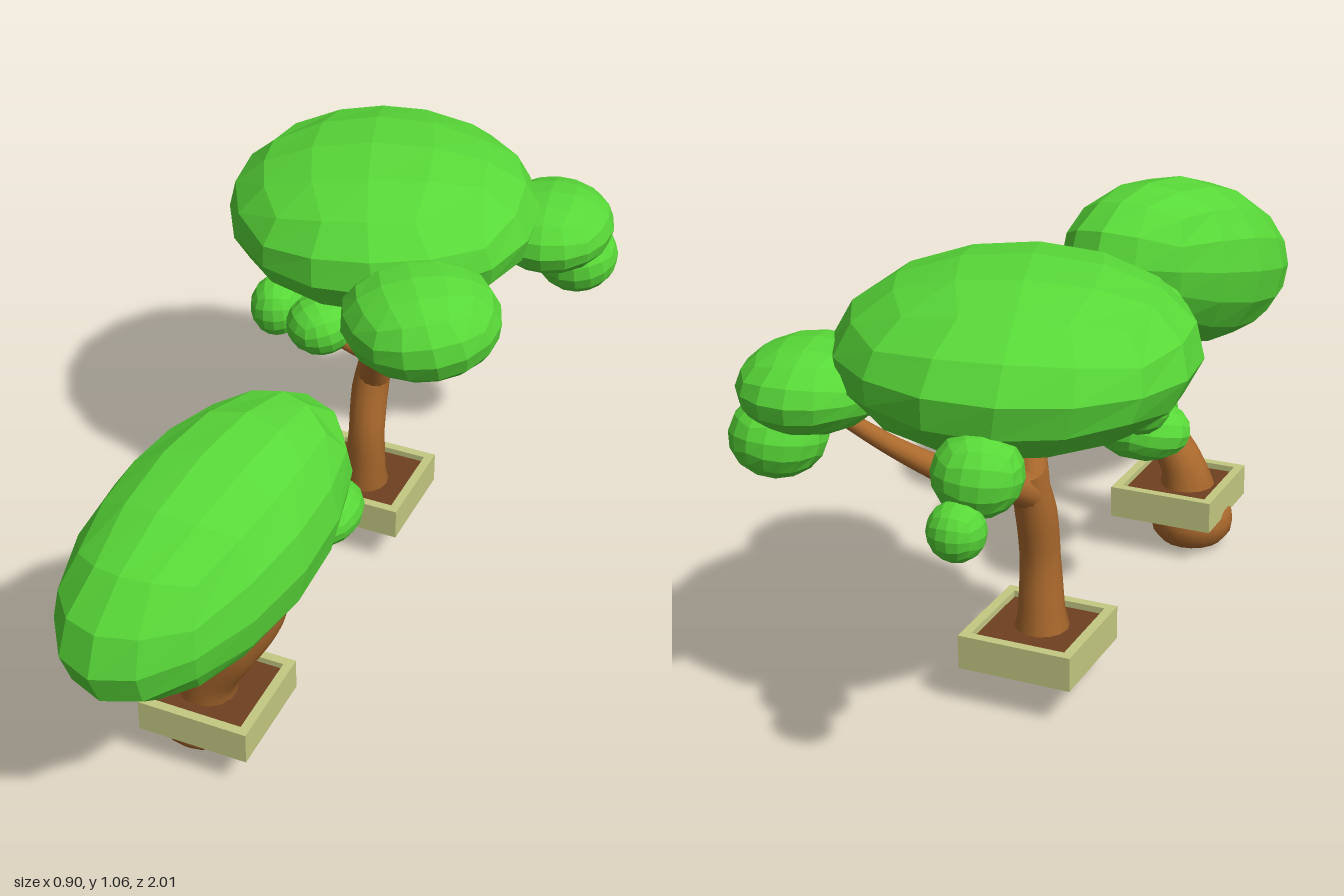
import * as THREE from 'three';

const mat = (name, color) => {
  const m = new THREE.MeshStandardMaterial({ color });
  m.name = name;
  return m;
};

export function createModel() {
  const leafGreen = mat('leaf green', 0x58d838);
  const barkBrown = mat('bark brown', 0xac6a2d);
  const soilBrown = mat('soil brown', 0x6e4020);
  const potOlive = mat('planter olive', 0xc4c982);

  const add = (parent, name, geometry, material) => {
    const mesh = new THREE.Mesh(geometry, material);
    mesh.name = name;
    parent.add(mesh);
    return mesh;
  };

  // Faceted leaf clump: a rounded cube stretched to an ellipsoid.
  // leanX / leanY slide it sideways / up towards its +z end.
  const clump = (parent, name, [x, y, z], [rx, ry, rz], spin = 0, leanX = 0, leanY = 0) => {
    const g = new THREE.BoxGeometry(2, 2, 2, 4, 4, 4);
    const p = g.attributes.position;
    const v = new THREE.Vector3();
    const axis = new THREE.Vector3(0.3, 1, 0.2).normalize();
    for (let i = 0; i < p.count; i++) {
      v.fromBufferAttribute(p, i);
      v.set(...v.toArray().map((c) => Math.tan((c * Math.PI) / 4)));
      v.normalize().multiplyScalar(1.015).applyAxisAngle(axis, spin);
      p.setXYZ(i, x + v.x * rx + v.z * leanX, y + v.y * ry + v.z * leanY, z + v.z * rz);
    }
    g.deleteAttribute('normal');
    const flat = g.toNonIndexed();
    flat.computeVertexNormals();
    add(parent, name, flat, leafGreen);
  };

  // Tapered limb: points are [x, y, z, radius].
  const limb = (parent, name, points) => {
    const curve = new THREE.CatmullRomCurve3(points.map((q) => new THREE.Vector3(q[0], q[1], q[2])));
    const rows = points.length * 5, sides = 14;
    const g = new THREE.TubeGeometry(curve, rows, 1, sides);
    const p = g.attributes.position;
    const v = new THREE.Vector3();
    for (let i = 0; i <= rows; i++) {
      const c = curve.getPointAt(i / rows);
      const t = curve.getUtoTmapping(i / rows) * (points.length - 1);
      const k = Math.min(Math.floor(t), points.length - 2);
      const r = THREE.MathUtils.lerp(points[k][3], points[k + 1][3], t - k);
      for (let j = 0; j <= sides; j++) {
        const n = i * (sides + 1) + j;
        v.fromBufferAttribute(p, n).sub(c).multiplyScalar(r).add(c);
        p.setXYZ(n, v.x, v.y, v.z);
      }
    }
    add(parent, name, g, barkBrown);
  };

  // Square open tray with soil.
  const planter = (parent, x, z) => {
    const half = 0.133, wall = 0.022;
    const square = (P, s) => new P([[-s, -s], [s, -s], [s, s], [-s, s]].map((q) => new THREE.Vector2(...q)));
    const frame = square(THREE.Shape, half);
    frame.holes.push(square(THREE.Path, half - wall));
    const g = new THREE.ExtrudeGeometry(frame, { depth: 0.08, bevelEnabled: false });
    g.rotateX(-Math.PI / 2);
    add(parent, 'planterFrame', g, potOlive).position.set(x, 0.095, z);
    const inner = (half - wall) * 2;
    add(parent, 'planterBase', new THREE.BoxGeometry(inner, 0.02, inner), potOlive).position.set(x, 0.105, z);
    add(parent, 'soil', new THREE.BoxGeometry(inner, 0.045, inner), soilBrown).position.set(x, 0.1375, z);
  };

  // Rounded root ball under the planter.
  const rootBall = (parent, x, y, z, r, h) => {
    const profile = [[0, 0], [0.4, 0.02], [0.75, 0.1], [0.95, 0.28], [1, 0.5], [0.96, 0.72], [0.8, 0.9], [0, 1]];
    const g = new THREE.LatheGeometry(profile.map((q) => new THREE.Vector2(q[0] * r, q[1] * h)), 18);
    add(parent, 'rootBall', g, barkBrown).position.set(x, y, z);
  };

  const model = new THREE.Group();
  model.name = 'bonsaiTrees';

  // Front tree
  const front = new THREE.Group();
  front.name = 'frontTree';
  model.add(front);
  planter(front, -0.055, 0.485);
  rootBall(front, -0.095, 0.003, 0.48, 0.105, 0.135);
  limb(front, 'trunk', [[-0.08, 0.12, 0.49, 0.08], [-0.062, 0.2, 0.497, 0.058], [0.01, 0.31, 0.503, 0.047],
    [0.068, 0.41, 0.488, 0.042], [0.09, 0.5, 0.48, 0.032], [0.08, 0.62, 0.53, 0.024]]);
  limb(front, 'branch', [[0.075, 0.47, 0.48, 0.028], [0.055, 0.435, 0.41, 0.024], [0.02, 0.415, 0.33, 0.018], [-0.03, 0.44, 0.22, 0.014]]);
  clump(front, 'canopy', [0.01, 0.705, 0.63], [0.219, 0.219, 0.372], 0, -0.07, -0.085);
  clump(front, 'rearClump', [-0.04, 0.615, 0.22], [0.135, 0.125, 0.19], 0.4, 0.02, 0.06);
  clump(front, 'lowerClump', [-0.025, 0.455, 0.235], [0.11, 0.085, 0.12], 0.7);
  clump(front, 'sideClump', [0.11, 0.53, 0.23], [0.068, 0.06, 0.1], 0.2);
  clump(front, 'backClump', [-0.125, 0.485, 0.05], [0.115, 0.072, 0.093], 0.9);

  // Rear tree
  const rear = new THREE.Group();
  rear.name = 'rearTree';
  model.add(rear);
  planter(rear, -0.055, -0.38);
  rootBall(rear, -0.06, 0.078, -0.38, 0.07, 0.08);
  limb(rear, 'trunk', [[-0.06, 0.12, -0.37, 0.07], [-0.055, 0.2, -0.363, 0.052], [-0.05, 0.32, -0.357, 0.045],
    [-0.05, 0.44, -0.377, 0.046], [-0.04, 0.54, -0.4, 0.04]]);
  const branches = [
    [[-0.045, 0.47, -0.385, 0.042], [-0.02, 0.56, -0.335, 0.033], [0.02, 0.65, -0.28, 0.024], [0.08, 0.74, -0.22, 0.018]],
    [[-0.03, 0.57, -0.33, 0.024], [-0.12, 0.63, -0.29, 0.018], [-0.22, 0.69, -0.27, 0.014]],
    [[-0.045, 0.49, -0.39, 0.042], [-0.01, 0.545, -0.48, 0.034], [0.03, 0.59, -0.58, 0.03], [0.13, 0.66, -0.65, 0.022], [0.27, 0.76, -0.71, 0.015]],
    [[0.02, 0.58, -0.56, 0.026], [-0.06, 0.64, -0.66, 0.02], [-0.15, 0.72, -0.83, 0.014]],
    [[0.03, 0.6, -0.59, 0.024], [0, 0.66, -0.53, 0.018], [-0.05, 0.74, -0.4, 0.015]],
  ];
  branches.forEach((points, i) => limb(rear, 'branch' + (i + 1), points));
  clump(rear, 'canopy', [-0.08, 0.87, -0.52], [0.372, 0.187, 0.378], 0.35);
  clump(rear, 'frontClump', [0.15, 0.805, -0.185], [0.185, 0.125, 0.185], 0.6);
  clump(rear, 'lowLeftClump', [-0.25, 0.69, -0.27], [0.065, 0.075, 0.07], 0.3);
  clump(rear, 'lowFrontClump', [-0.11, 0.71, -0.205], [0.08, 0.07, 0.08], 0.8);
  clump(rear, 'sideClump', [0.285, 0.805, -0.71], [0.15, 0.095, 0.17], 0.2);
  clump(rear, 'lowSideClump', [0.34, 0.705, -0.765], [0.1, 0.088, 0.105], 0.7);
  clump(rear, 'backClump', [-0.155, 0.74, -0.86], [0.09, 0.085, 0.09], 0.5);
  clump(rear, 'backTip', [-0.15, 0.655, -0.943], [0.058, 0.06, 0.057], 0.1);

  return model;
}
